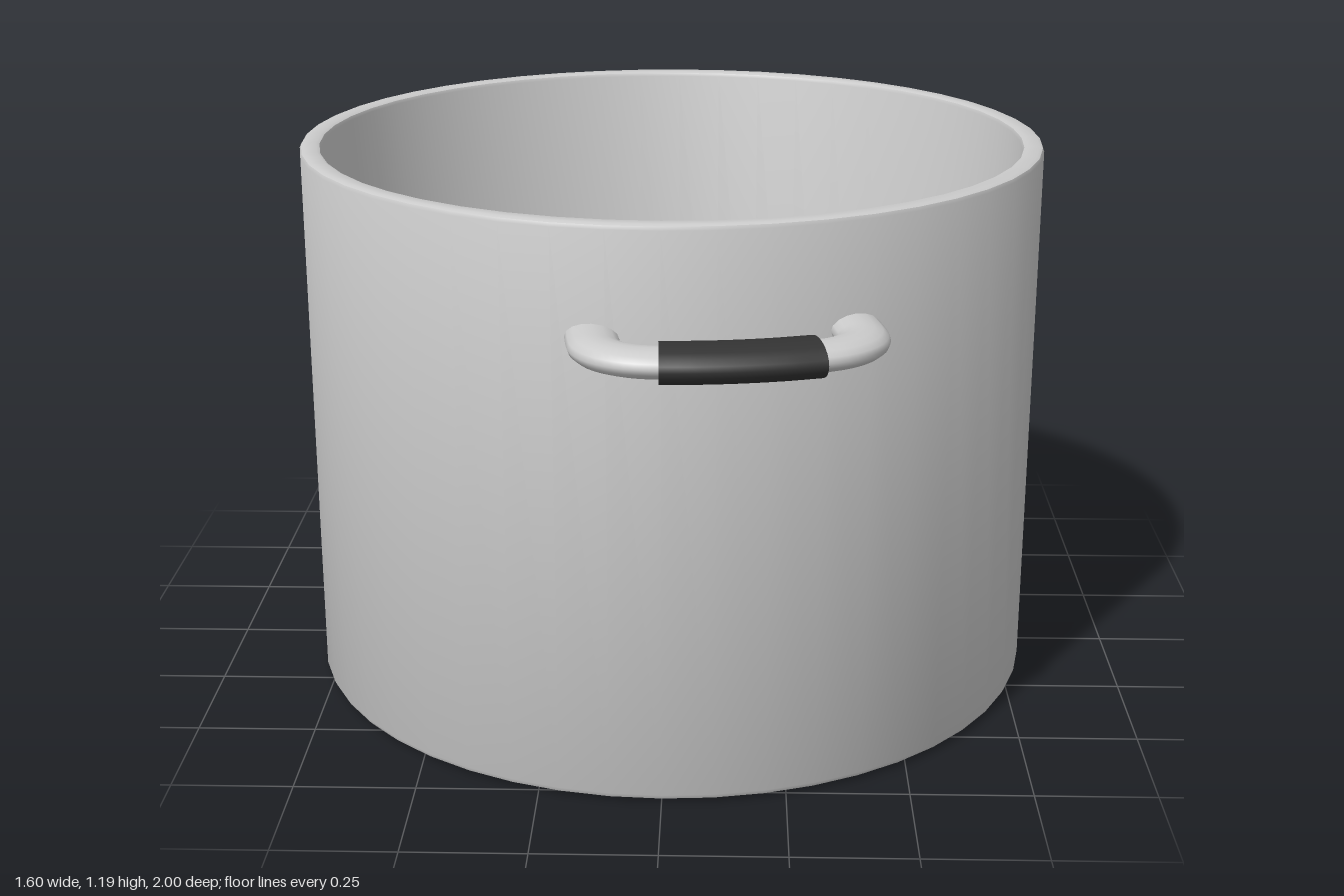
import * as THREE from 'three';
import { toCreasedNormals, mergeGeometries } from 'three/addons/utils/BufferGeometryUtils.js';

const metal = new THREE.MeshStandardMaterial({ color: 0xcccccc });
const dark = new THREE.MeshStandardMaterial({ color: 0x333333 });

const v2 = (x, y) => new THREE.Vector2(x, y);
const polar = (r, deg) => {
  const a = THREE.MathUtils.degToRad(deg);
  return new THREE.Vector3(r * Math.sin(a), 0, r * Math.cos(a));
};

// Hollow body: outside from the base up, over the rim, then down to the rounded inner floor
function createBody() {
  const profile = [
    v2(0, 0), v2(0.59, 0), v2(0.788, 0.005), v2(0.796, 0.009), v2(0.8, 0.018),
    v2(0.8, 1.18), v2(0.797, 1.187), v2(0.79, 1.19),
    v2(0.765, 1.19), v2(0.758, 1.187), v2(0.755, 1.18),
  ];
  const fillet = 0.08, floor = 0.04;
  for (let i = 0; i <= 6; i++) {
    const a = (i / 6) * Math.PI / 2;
    profile.push(v2(0.755 - fillet + fillet * Math.cos(a), floor + fillet - fillet * Math.sin(a)));
  }
  profile.push(v2(0, floor));
  const body = new THREE.Mesh(toCreasedNormals(new THREE.LatheGeometry(profile, 48), 0.6), metal);
  body.name = 'potBody';
  return body;
}

// Bent bar and dark grip, both flattened to an oval section
function createHandle() {
  const handle = new THREE.Group();
  const r = 0.935;

  const side = [[0.25, 0.74], [0.252, 0.79], [0.25, 0.835], [0.232, 0.875], [0.19, 0.909]];
  const barPoints = [
    ...side.map(([x, z]) => new THREE.Vector3(-x, 0, z)),
    ...[-8, -4, 0, 4, 8].map((deg) => polar(r, deg)),
    ...side.slice().reverse().map(([x, z]) => new THREE.Vector3(x, 0, z)),
  ];
  const barGeometry = new THREE.TubeGeometry(new THREE.CatmullRomCurve3(barPoints), 56, 0.051, 16);
  barGeometry.scale(1, 0.55, 1);
  const bar = new THREE.Mesh(barGeometry, metal);
  bar.name = 'handleBar';

  // Grip follows the wall and is closed by a disc at each end
  const gripPath = new THREE.CatmullRomCurve3([-9, -4.5, 0, 4.5, 9].map((deg) => polar(r, deg)));
  const parts = [new THREE.TubeGeometry(gripPath, 16, 0.065, 20)];
  for (const s of [-1, 1]) {
    const end = polar(r, 9 * s);
    const cap = new THREE.CircleGeometry(0.065, 20);
    cap.rotateY(s * (Math.PI / 2 + THREE.MathUtils.degToRad(9)));
    cap.translate(end.x, 0, end.z);
    parts.push(cap);
  }
  const gripGeometry = mergeGeometries(parts);
  gripGeometry.scale(1, 0.56, 1);
  const grip = new THREE.Mesh(gripGeometry, dark);
  grip.name = 'handleGrip';

  handle.add(bar, grip);
  handle.position.y = 0.97;
  return handle;
}

export function createModel() {
  const pot = new THREE.Group();
  pot.name = 'cookingPot';
  pot.add(createBody());

  // Two opposite handles, turned slightly off the front axis
  ['frontHandle', 'backHandle'].forEach((name, i) => {
    const handle = createHandle();
    handle.name = name;
    handle.rotation.y = THREE.MathUtils.degToRad(9) + i * Math.PI;
    pot.add(handle);
  });
  return pot;
}
